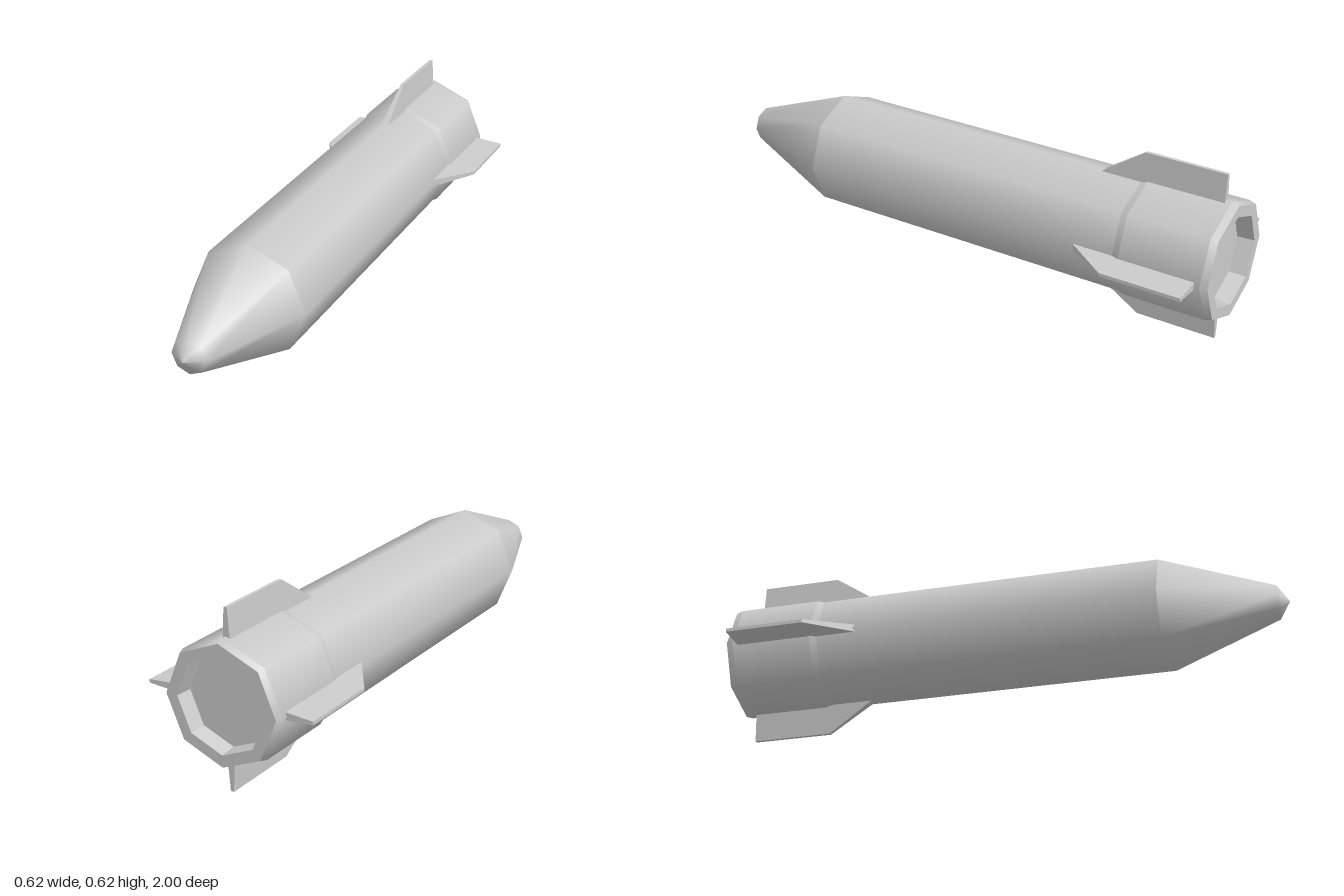
import * as THREE from 'three';

const SIDES = 8;
const AXIS_Y = 0.31;

// Eight-sided shell along z; profile is [radius, z] from back to front
function shell(name, profile, flat = false) {
  const points = profile.map(([r, z]) => new THREE.Vector2(r, z));
  const geometry = new THREE.LatheGeometry(points, SIDES);
  geometry.rotateX(Math.PI / 2);
  const mesh = new THREE.Mesh(
    geometry,
    new THREE.MeshStandardMaterial({ color: 0xcccccc, flatShading: flat })
  );
  mesh.name = name;
  return mesh;
}

// Upright swept fin that thins towards its outer edge
function finGeometry() {
  const root = 0.19, tip = 0.31, rootHalf = 0.0145, tipHalf = 0.006;
  const outline = new THREE.Shape([
    new THREE.Vector2(-0.955, root),
    new THREE.Vector2(-0.49, root),
    new THREE.Vector2(-0.665, tip),
    new THREE.Vector2(-0.955, tip),
  ]);
  const geometry = new THREE.ExtrudeGeometry(outline, { depth: 2, bevelEnabled: false });
  geometry.translate(0, 0, -1);
  geometry.rotateY(-Math.PI / 2);
  const p = geometry.attributes.position;
  for (let i = 0; i < p.count; i++) {
    const t = (p.getY(i) - root) / (tip - root);
    p.setX(i, p.getX(i) * THREE.MathUtils.lerp(rootHalf, tipHalf, t));
  }
  geometry.computeVertexNormals();
  return geometry;
}

export function createModel() {
  const model = new THREE.Group();
  model.name = 'rocket';

  const rocket = new THREE.Group();
  rocket.name = 'rocketBody';
  rocket.position.y = AXIS_Y;
  model.add(rocket);

  // Nose, hull and thicker tail section
  rocket.add(
    shell('noseCone', [[0.208, 0.575], [0.063, 0.96], [0, 1]]),
    shell('hull', [[0.208, -0.655], [0.208, 0.575]]),
    shell('tailStep', [[0.215, -0.68], [0.208, -0.655]]),
    shell('tailSection', [[0.215, -0.975], [0.215, -0.68]]),
    shell('tailBevel', [[0.207, -1], [0.215, -0.975]])
  );

  // Flat rear rim around the recessed engine opening
  rocket.add(
    shell('engineRecess', [[0, -0.94], [0.16, -0.94], [0.165, -1], [0.207, -1]], true)
  );

  // Four fins at right angles
  const geometry = finGeometry();
  const material = new THREE.MeshStandardMaterial({ color: 0xcccccc, flatShading: true });
  ['topFin', 'leftFin', 'bottomFin', 'rightFin'].forEach((name, i) => {
    const fin = new THREE.Mesh(geometry, material);
    fin.name = name;
    fin.rotation.z = -i * Math.PI / 2;
    rocket.add(fin);
  });

  return model;
}
